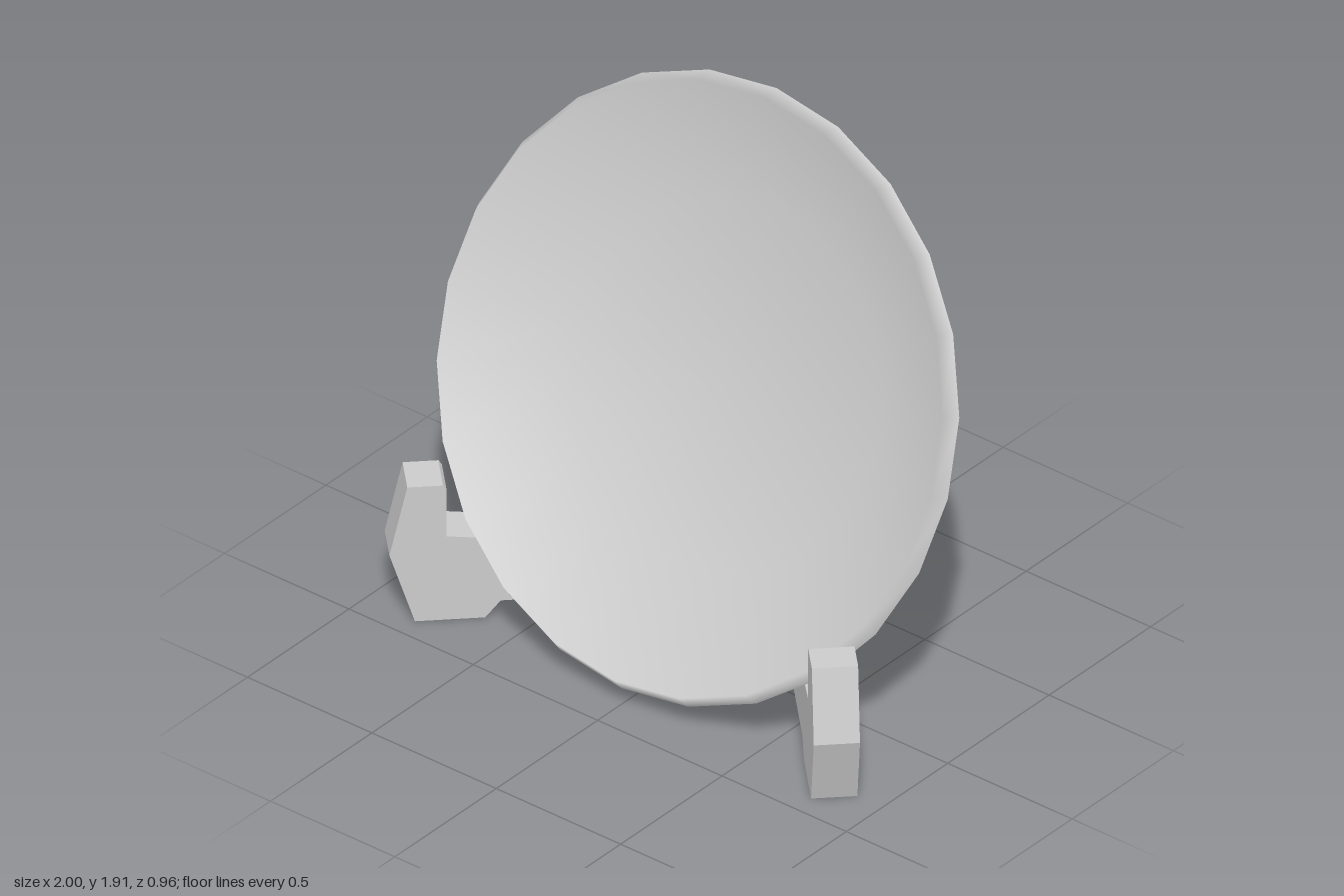
import * as THREE from 'three';
import { toCreasedNormals } from 'three/addons/utils/BufferGeometryUtils.js';

const material = new THREE.MeshStandardMaterial({ color: 0xcccccc });
const points = (list) => list.map(([x, y]) => new THREE.Vector2(x, y));

function addMesh(parent, name, geometry) {
  const mesh = new THREE.Mesh(geometry, material);
  mesh.name = name;
  parent.add(mesh);
  return mesh;
}

// Plate leaning back; each smooth ring of its profile is turned separately
function createPlate() {
  const plate = new THREE.Group();
  plate.name = 'plate';
  const profiles = {
    plateFoot: [[0, -0.174], [0.65, -0.174]],
    plateUnderside: [[0.65, -0.174], [0.93, -0.052], [1, 0]],
    plateDish: [[1, 0], [0.971, 0.051], [0.6, -0.15], [0, -0.15]],
  };
  for (const [name, profile] of Object.entries(profiles)) {
    addMesh(plate, name, new THREE.LatheGeometry(points(profile), 24));
  }
  plate.rotation.x = THREE.MathUtils.degToRad(67.5);
  plate.position.set(0, 0.984, 0);
  return plate;
}

// Side outline of one stand arm: tall back post, ledge and front stop
function createArmGeometry() {
  const width = 0.145;
  const outline = new THREE.Shape(points([
    [-0.27, 0], [-0.113, 0], [-0.062, 0.06], [0.594, 0.06], [0.643, 0],
    [0.863, 0], [0.943, 0.25], [0.887, 0.5], [0.775, 0.5], [0.764, 0.485],
    [0.764, 0.31], [0.55, 0.285], [0.068, 0.324], [-0.035, 0.362],
    [-0.085, 0.405], [-0.104, 0.45], [-0.149, 1.22], [-0.165, 1.268],
    [-0.2, 1.295], [-0.27, 1.3],
  ]));
  const geometry = new THREE.ExtrudeGeometry(outline, { depth: width, bevelEnabled: false });
  geometry.translate(0, 0, -width / 2);
  return toCreasedNormals(geometry, 0.5);
}

export function createModel() {
  const model = new THREE.Group();
  model.name = 'plateOnStand';
  model.add(createPlate());

  // Two arms meeting at the back, splayed at right angles
  const stand = new THREE.Group();
  stand.name = 'stand';
  const armGeometry = createArmGeometry();
  for (const side of [1, -1]) {
    const arm = addMesh(stand, side > 0 ? 'leftArm' : 'rightArm', armGeometry);
    arm.rotation.y = side > 0 ? -Math.PI / 4 : -Math.PI * 0.75;
    arm.position.set(side * 0.2375, 0, -0.2375);
  }
  model.add(stand);
  return model;
}
